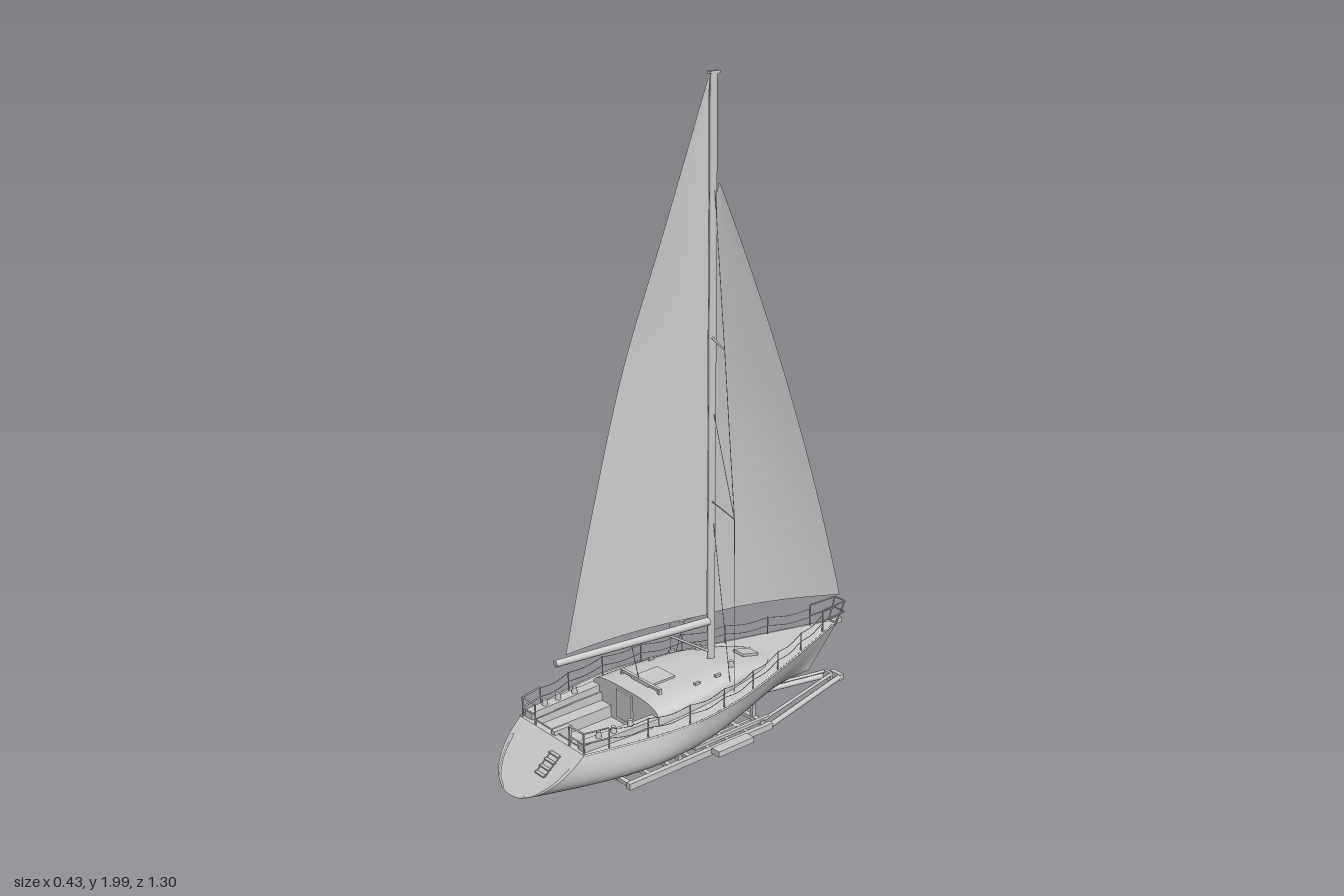
import * as THREE from 'three';
import { ParametricGeometry } from 'three/addons/geometries/ParametricGeometry.js';

const mat = new THREE.MeshStandardMaterial({ color: 0xcccccc, side: THREE.DoubleSide });
const V = (x, y, z) => new THREE.Vector3(x, y, z);
const { lerp } = THREE.MathUtils;

// Smooth interpolation through evenly spaced values, t in 0..1
function curve(vals, t) {
  const n = vals.length - 1, i = Math.min(Math.floor(t * n), n - 1), f = t * n - i;
  const b = vals[i], c = vals[i + 1], a = vals[i - 1] ?? 2 * b - c, d = vals[i + 2] ?? 2 * c - b;
  return b + 0.5 * f * (c - a + f * (2 * a - 5 * b + 4 * c - d + f * (3 * (b - c) + d - a)));
}

// Hull rules: deck runs z -0.645..0.5, bottom is level at y 0.075
const BOTTOM = 0.075;
const deckZ = u => -0.645 + 1.145 * u;
const sheer = z => 0.205 + 0.01 * Math.max(0, -z / 0.645) ** 2;
const beam = u => curve([0, 0.04, 0.078, 0.115, 0.15, 0.182, 0.202, 0.21, 0.198, 0.176, 0.15], u);
const edge = z => beam((z + 0.645) / 1.145);
function hullPoint(u, v, t) {
  const a = (v - 0.5) * Math.PI, n = curve([2, 2.6, 4, 3.6, 2.1], u);
  const k = Math.abs(Math.sin(a)) ** (2 / n), s = Math.max(0, Math.cos(a)) ** (2 / n);
  const z = lerp(-0.645 + 0.135 * s, 0.5 + 0.15 * s, u);
  return t.set(Math.sign(a) * beam(u) * k, lerp(sheer(deckZ(u)), BOTTOM, s), z);
}

export function createModel() {
  const root = new THREE.Group();
  root.name = 'sailingYacht';
  const add = (name, geo, parent = root) => {
    const m = new THREE.Mesh(geo, mat);
    m.name = name;
    parent.add(m);
    return m;
  };
  const surface = (name, fn, nu, nv) => {
    const g = new ParametricGeometry(fn, nu, nv);
    g.computeVertexNormals();
    return add(name, g);
  };
  const box = (name, w, h, d, x, y, z) => {
    const m = add(name, new THREE.BoxGeometry(w, h, d));
    m.position.set(x, y, z);
    return m;
  };
  const rod = (name, a, b, r, r2 = r) => {
    const m = add(name, new THREE.CylinderGeometry(r2, r, a.distanceTo(b), 8));
    m.position.copy(a).lerp(b, 0.5);
    m.quaternion.setFromUnitVectors(V(0, 1, 0), b.clone().sub(a).normalize());
    return m;
  };
  const chain = (name, pts, r) => pts.slice(1).forEach((p, i) => rod(name, pts[i], p, r));
  const tube = (name, pts, r) =>
    add(name, new THREE.TubeGeometry(new THREE.CatmullRomCurve3(pts), pts.length * 5, r, 6));

  // Hull shell and sloping transom
  surface('hull', hullPoint, 40, 40);
  surface('transom', (u, v, t) => { hullPoint(1, v, t); t.x *= u; }, 2, 40);

  // Deck with an opening for the cockpit
  const outline = [];
  for (let i = 0; i <= 40; i++) outline.push(new THREE.Vector2(beam(i / 40), deckZ(i / 40)));
  for (let i = 40; i > 0; i--) outline.push(new THREE.Vector2(-beam(i / 40), deckZ(i / 40)));
  const deckShape = new THREE.Shape(outline);
  const rect = (w1, z1, w2, z2) =>
    [[-w1, z1], [w1, z1], [w2, z2], [-w2, z2]].map(p => new THREE.Vector2(...p));
  deckShape.holes.push(new THREE.Path(rect(0.115, 0.23, 0.105, 0.48)));
  const deck = new THREE.ShapeGeometry(deckShape);
  const dp = deck.attributes.position;
  for (let i = 0; i < dp.count; i++) {
    const z = dp.getY(i);
    dp.setXYZ(i, dp.getX(i), sheer(z), z);
  }
  deck.computeVertexNormals();
  add('deck', deck);

  // Coachroof lofted from arched sections, closed by an aft bulkhead
  const roofPoint = (u, v, t) => {
    const a = (v - 0.5) * Math.PI, z = lerp(-0.32, 0.235, u);
    const w = curve([0.025, 0.085, 0.108, 0.126, 0.141, 0.15, 0.154, 0.155], u);
    const h = curve([0, 0.02, 0.038, 0.053, 0.057, 0.058, 0.058, 0.057], u);
    return t.set(Math.sign(a) * w * Math.abs(Math.sin(a)) ** 0.6,
      sheer(z) - 0.002 + h * Math.max(0, Math.cos(a)) ** 0.6, z);
  };
  surface('coachroof', roofPoint, 28, 28);
  surface('cabinBulkhead', (u, v, t) => { roofPoint(1, v, t); t.x *= u; }, 2, 28);
  box('companionwayDoor', 0.07, 0.09, 0.006, 0, 0.205, 0.238);
  box('slidingHatch', 0.08, 0.006, 0.1, 0, 0.265, 0.13);
  box('foredeckHatch', 0.045, 0.008, 0.065, 0.008, 0.232, -0.23).rotation.x = -0.24;

  // Cockpit well: floor, seats, walls and coamings
  box('cockpitFloor', 0.23, 0.006, 0.26, 0, 0.14, 0.36);
  box('cockpitForwardWall', 0.23, 0.07, 0.004, 0, 0.172, 0.232);
  box('cockpitAftWall', 0.21, 0.07, 0.004, 0, 0.172, 0.48);
  box('steeringPedestal', 0.016, 0.075, 0.06, 0, 0.18, 0.465);
  for (const s of [-1, 1]) {
    box('cockpitSeat', 0.045, 0.04, 0.25, s * 0.09, 0.16, 0.355);
    box('cockpitSide', 0.004, 0.07, 0.25, s * 0.113, 0.172, 0.355);
    const coaming = box('coaming', 0.032, 0.024, 0.26, s * 0.13, 0.215, 0.36);
    coaming.rotation.y = -s * 0.05;
    // Transom edge moulding following the reverse slope
    tube('transomEdge', [0.08, 0.2, 0.32, 0.42].map(v => {
      const p = hullPoint(1, s > 0 ? 1 - v : v, V(0, 0, 0));
      return p.setX(p.x * 0.9);
    }), 0.003);
    // Winches
    for (const [x, y, z] of [[0.13, 0.227, 0.32], [0.13, 0.227, 0.38], [0.126, 0.227, 0.43], [0.075, 0.25, -0.11]]) {
      rod('winch', V(s * x, y, z), V(s * x, y + 0.018, z), 0.009, 0.007);
    }
    for (const z of [-0.03, 0.05]) box('deckFitting', 0.008, 0.008, 0.02, s * 0.105, 0.258, z);
    // Toe rail
    tube('toeRail', Array.from({ length: 21 }, (_, i) => V(s * beam(i / 20), sheer(deckZ(i / 20)), deckZ(i / 20))), 0.003);

    // Stanchions and sagging lifelines
    const posts = [-0.54, -0.4, -0.26, -0.12, 0.02, 0.16, 0.3, 0.42];
    const at = (z, h) => V(s * (edge(z) - 0.008), sheer(z) + h, z);
    posts.forEach((z, i) => {
      rod('stanchion', at(z, 0), at(z, 0.06), 0.002);
      if (i) for (const h of [0.03, 0.058]) {
        const z0 = posts[i - 1];
        tube('lifeline', [at(z0, h), at((z0 + z) / 2, h - 0.008), at(z, h)], 0.0011);
      }
    });
    // Bow pulpit and stern pushpit halves
    for (const h of [0.035, 0.072]) {
      chain('bowPulpit', [at(-0.54, h), V(s * 0.022, 0.213 + h, -0.645), V(0, 0.213 + h, -0.645)], 0.0025);
    }
    chain('bowPulpitLeg', [V(s * 0.016, 0.21, -0.61), V(s * 0.022, 0.285, -0.645)], 0.0025);
    chain('bowPulpitLeg', [at(-0.54, 0), at(-0.54, 0.072)], 0.0025);
    for (const h of [0.03, 0.062]) chain('pushpit', [at(0.42, h), at(0.495, h), V(s * 0.08, 0.205 + h, 0.497)], 0.0025);
    chain('pushpitLeg', [at(0.495, 0), at(0.495, 0.062)], 0.0025);
    chain('pushpitLeg', [V(s * 0.08, 0.205, 0.497), V(s * 0.08, 0.267, 0.497)], 0.0025);

    // Spreaders and shrouds
    rod('upperSpreader', V(0, 1.255, -0.095), V(s * 0.12, 1.255, -0.035), 0.004, 0.002);
    rod('lowerSpreader', V(0, 0.76, -0.095), V(s * 0.15, 0.76, -0.05), 0.002, 0.0015);
    chain('capShroud', [V(0, 1.7, -0.1), V(s * 0.12, 1.255, -0.035), V(s * 0.15, 0.76, -0.05), V(s * 0.145, 0.21, -0.06)], 0.001);
    chain('innerShroud', [V(0, 1.04, -0.1), V(s * 0.15, 0.76, -0.05)], 0.001);
    chain('lowerShroud', [V(0, 0.72, -0.1), V(s * 0.13, 0.21, -0.06)], 0.001);
  }

  // Bow roller and boarding ladder
  box('bowRoller', 0.014, 0.014, 0.04, 0, 0.213, -0.63);
  for (const x of [0.04, 0.08]) rod('ladderRail', V(x, 0.185, 0.53), V(x, 0.14, 0.585), 0.002);
  for (let i = 0; i < 4; i++) box('ladderRung', 0.042, 0.004, 0.01, 0.06, 0.183 - i * 0.014, 0.534 + i * 0.017);

  // Mast, boom, vang, traveller and mainsheet
  const mast = rod('mast', V(0, 0.25, -0.096), V(0, 2, -0.096), 0.015, 0.014);
  mast.scale.x = 0.5;
  box('mastCap', 0.014, 0.008, 0.036, 0, 1.996, -0.096);
  rod('boom', V(0, 0.378, -0.085), V(-0.07, 0.378, 0.43), 0.013, 0.011);
  rod('vang', V(0, 0.28, -0.085), V(-0.02, 0.372, 0.06), 0.004);
  box('traveller', 0.18, 0.008, 0.01, 0, 0.27, 0.175);
  for (const x of [-0.085, 0.085]) box('travellerFoot', 0.008, 0.03, 0.012, x, 0.258, 0.175);
  rod('mainsheet', V(-0.036, 0.37, 0.18), V(-0.01, 0.27, 0.175), 0.0012);

  // Sails: u runs luff to leech, v head to foot
  surface('mainsail', (u, v, t) => {
    const leech = curve([0, -0.04, -0.083, -0.08, -0.06], v);
    t.set(leech * u - 0.02 * v * 4 * u * (1 - u), 1.98 - 1.58 * v, lerp(-0.08, -0.075 + 0.475 * v, u));
  }, 16, 32);
  surface('headsail', (u, v, t) => {
    const leech = curve([-0.005, -0.083, -0.15, -0.173, -0.175], v);
    const luffZ = -0.122 - 0.52 * v - 0.14 * v * (1 - v);
    t.set(leech * u - 0.04 * v * 4 * u * (1 - u), 1.69 - 1.39 * v, lerp(luffZ, -0.12, u));
  }, 16, 32);

  // Cradle below the hull: slatted frame tapering to a tongue at the bow
  for (const s of [-1, 1]) {
    box('cradleSideRail', 0.016, 0.02, 0.56, s * 0.105, 0.016, 0.03);
    box('cradleInnerRail', 0.01, 0.012, 0.56, s * 0.045, 0.016, 0.03);
    box('cradleOuterPad', 0.034, 0.018, 0.14, s * 0.13, 0.022, -0.07);
    box('cradleUpperRail', 0.012, 0.01, 0.3, s * 0.09, 0.038, -0.1);
    rod('cradleTongue', V(s * 0.105, 0.016, -0.25), V(s * 0.014, 0.016, -0.645), 0.009);
    rod('cradleUpperTongue', V(s * 0.09, 0.038, -0.25), V(s * 0.014, 0.038, -0.6), 0.005);
    for (const z of [0.11, -0.22]) box('cradleSupport', 0.012, 0.055, 0.012, s * 0.055, 0.052, z);
  }
  for (let i = 0; i < 8; i++) box('cradleSlat', 0.22, 0.012, 0.014, 0, 0.016, 0.3 - i * 0.077);
  for (const z of [0.11, -0.22]) box('cradleBeam', 0.2, 0.012, 0.016, 0, 0.032, z);
  box('tongueEnd', 0.046, 0.02, 0.016, 0, 0.016, -0.64);
  box('tongueStop', 0.034, 0.03, 0.01, 0, 0.028, -0.6);

  return root;
}
